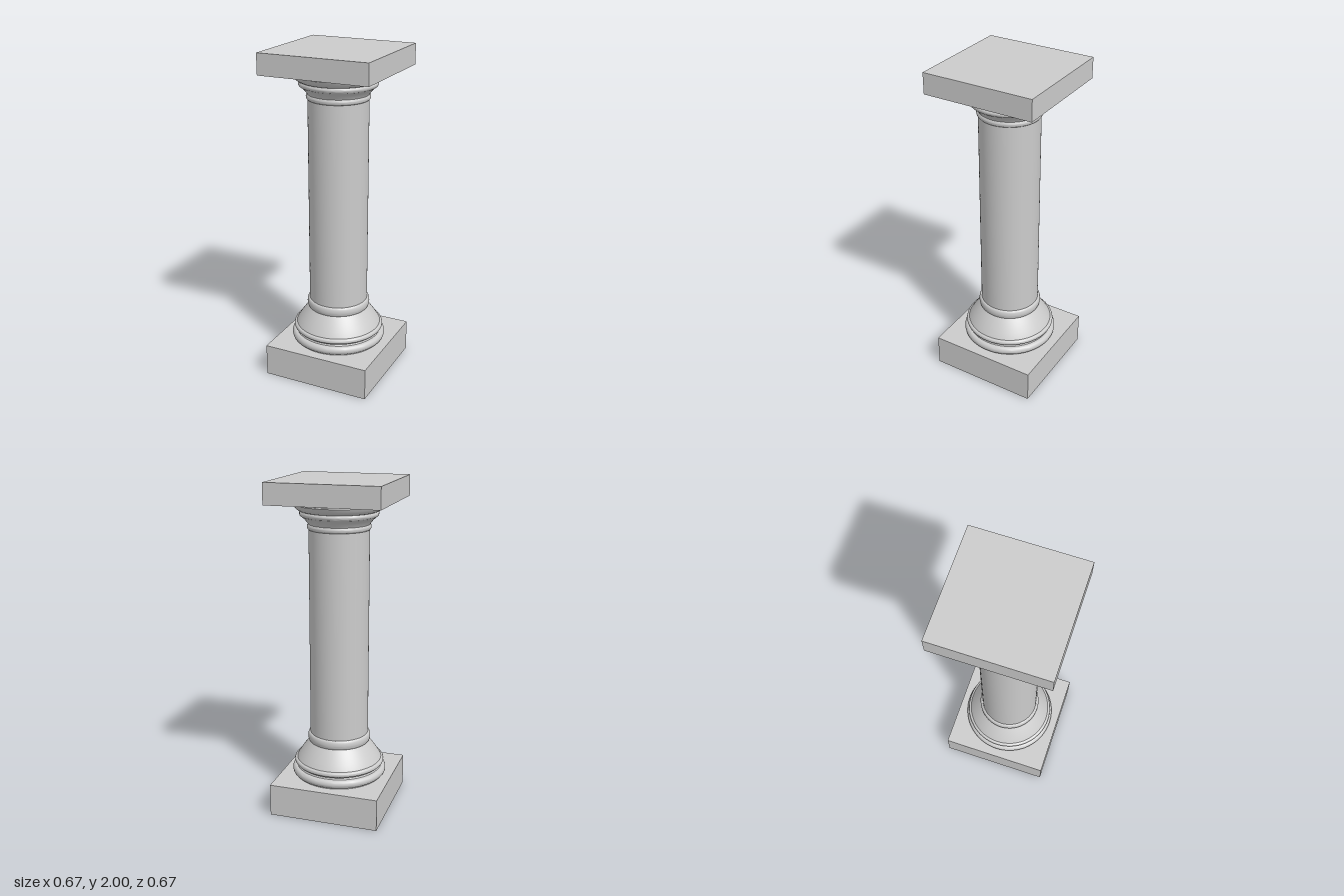
import * as THREE from 'three';
import { toCreasedNormals } from 'three/addons/utils/BufferGeometryUtils.js';

const material = new THREE.MeshStandardMaterial({ color: 0xcccccc });

export function createModel() {
  const model = new THREE.Group();
  model.name = 'column';

  const add = (name, geometry, y = 0) => {
    const mesh = new THREE.Mesh(geometry, material);
    mesh.name = name;
    mesh.position.y = y;
    model.add(mesh);
  };

  // Square slab between two heights
  const slab = (name, y0, y1) =>
    add(name, new THREE.BoxGeometry(0.666, y1 - y0, 0.666), (y0 + y1) / 2);

  // Turned part from [radius, height] pairs, bottom to top
  const turned = (name, profile) => {
    const points = profile.map(([r, y]) => new THREE.Vector2(r, y));
    add(name, toCreasedNormals(new THREE.LatheGeometry(points, 64), 0.7));
  };

  // Rounded ring: half-round edge of the given depth, closed back to an inner radius
  const ring = (name, inner, outer, y0, y1, depth) => {
    const profile = [[inner, y0]];
    for (let i = 0; i <= 10; i++) {
      const a = -Math.PI / 2 + (i / 10) * Math.PI;
      profile.push([outer - depth + Math.cos(a) * depth, (y0 + y1) / 2 + Math.sin(a) * (y1 - y0) / 2]);
    }
    profile.push([inner, y1]);
    turned(name, profile);
  };

  slab('plinth', 0, 0.196);

  // Base mouldings
  ring('lowerBaseRing', 0.2, 0.288, 0.2, 0.252, 0.022);
  turned('baseNeck', [[0.27, 0.19], [0.27, 0.205], [0.262, 0.25], [0.255, 0.26], [0.262, 0.275]]);
  ring('upperBaseRing', 0.2, 0.275, 0.268, 0.3, 0.015);
  turned('baseFlare', [[0.262, 0.295], [0.255, 0.308], [0.238, 0.335], [0.217, 0.365], [0.198, 0.39], [0.18, 0.412]]);
  ring('shaftCollar', 0.16, 0.192, 0.41, 0.467, 0.012);

  // Shaft
  turned('shaft', [[0.177, 0.4], [0.177, 1.76]]);

  // Capital mouldings
  ring('neckRing', 0.16, 0.186, 1.712, 1.746, 0.012);
  turned('capitalFlare', [[0.178, 1.742], [0.183, 1.752], [0.2, 1.772], [0.217, 1.787], [0.222, 1.792]]);
  ring('capitalRing', 0.17, 0.229, 1.788, 1.822, 0.012);
  turned('capitalBowl', [[0.221, 1.818], [0.235, 1.823], [0.249, 1.833], [0.258, 1.846], [0.264, 1.858], [0.262, 1.864], [0.23, 1.867]]);
  turned('capitalNeck', [[0.252, 1.862], [0.252, 1.88]]);

  slab('abacus', 1.876, 2);

  return model;
}
